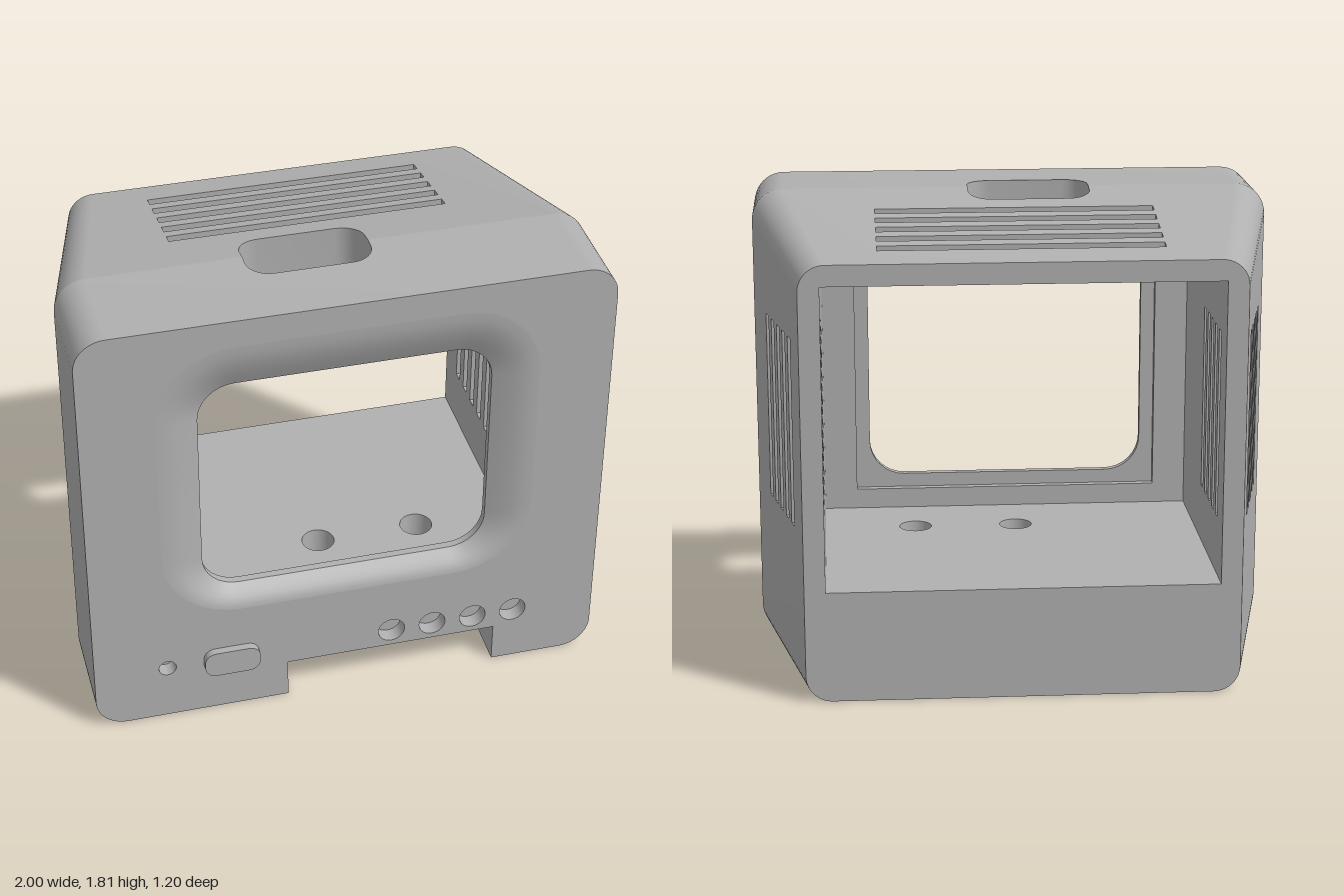
import * as THREE from 'three';
import { toCreasedNormals } from 'three/addons/utils/BufferGeometryUtils.js';

const V = (x, y, z) => new THREE.Vector3(x, y, z);

// Overall dimensions
const FRONT = 0.57, KINK = 0.18, BACK = -0.6;
const IN_X = 0.74, FLOOR = 0.43, CEIL = 1.59, IN_FRONT = 0.45;
const NOTCH = { x0: -0.24, x1: 0.595, y: 0.165, z: -0.04 };

const taper = z => Math.max(0, (KINK - z) / (KINK - BACK));
const halfWidth = z => 1 - 0.18 * taper(z);
const topY = z => 1.81 - 0.14 * taper(z);
const cornerR = z => 0.12 - 0.02 * taper(z);

// Rounded rectangle, counter-clockwise from the lower right corner
function roundRect(x0, x1, y0, y1, r, n = 8) {
  const pts = [];
  [[x1 - r, y0 + r], [x1 - r, y1 - r], [x0 + r, y1 - r], [x0 + r, y0 + r]].forEach(([cx, cy], c) => {
    for (let i = 0; i <= n; i++) {
      const a = (c - 1 + i / n) * Math.PI / 2;
      pts.push([cx + r * Math.cos(a), cy + r * Math.sin(a)]);
    }
  });
  return pts;
}
const rect = (x0, x1, y0, y1) => [[x0, y0], [x1, y0], [x1, y1], [x0, y1]];
const circle = (x, y, r, n = 28) => Array.from({ length: n }, (_, i) =>
  [x + r * Math.cos(i / n * 2 * Math.PI), y + r * Math.sin(i / n * 2 * Math.PI)]);

// Collects triangles, each turned to face the given direction
class Surface {
  constructor() { this.data = []; }
  tri(a, b, c, dir) {
    const n = b.clone().sub(a).cross(c.clone().sub(a));
    if (n.lengthSq() < 1e-14) return;
    for (const p of n.dot(dir) < 0 ? [a, c, b] : [a, b, c]) this.data.push(p.x, p.y, p.z);
  }
  quad(a, b, c, d, dir) { this.tri(a, b, c, dir); this.tri(a, c, d, dir); }
  // Flat panel with holes; map places its 2D points in space
  panel(outline, holes, map, dir) {
    const to2 = list => list.map(p => new THREE.Vector2(p[0], p[1]));
    const all = [outline, ...holes].flat().map(p => map(p[0], p[1]));
    for (const [a, b, c] of THREE.ShapeUtils.triangulateShape(to2(outline), holes.map(to2)))
      this.tri(all[a], all[b], all[c], dir);
  }
  // Walls of an opening, running between two mapped copies of its outline
  tunnel(pts, mapA, mapB, closed = true) {
    const A = pts.map(p => mapA(...p)), B = pts.map(p => mapB(...p));
    const mid = V(0, 0, 0);
    [...A, ...B].forEach(p => mid.addScaledVector(p, 0.5 / A.length));
    for (let i = 0; i < A.length - (closed ? 0 : 1); i++) {
      const j = (i + 1) % A.length;
      this.quad(A[i], A[j], B[j], B[i], mid.clone().sub(A[i].clone().add(B[j]).multiplyScalar(0.5)));
    }
  }
  mesh(name, material, crease) {
    const g = new THREE.BufferGeometry();
    g.setAttribute('position', new THREE.Float32BufferAttribute(this.data, 3));
    const m = new THREE.Mesh(toCreasedNormals(g, crease), material);
    m.name = name;
    return m;
  }
}

export function createModel() {
  const group = new THREE.Group();
  group.name = 'monitorCase';
  const grey = new THREE.MeshStandardMaterial({ color: 0xb0b0b0, side: THREE.DoubleSide });
  grey.name = 'grey plastic';
  const add = (surface, name, crease = 0.25) => group.add(surface.mesh(name, grey, crease));

  const UP = V(0, 1, 0), DOWN = V(0, -1, 0), FWD = V(0, 0, 1), REAR = V(0, 0, -1);
  const atY = y => (x, z) => V(x, y, z);
  const atZ = z => (x, y) => V(x, y, z);
  const roof = (x, z) => V(x, topY(z), z);
  const section = z => roundRect(-halfWidth(z), halfWidth(z), 0, topY(z), cornerR(z), 10);

  // Vents and handle window
  const sideSlots = [], topSlots = [];
  for (let i = 0; i < 5; i++) {
    const s = -0.04 - i * 0.094, t = -0.05 - i * 0.0931;
    sideSlots.push(rect(s - 0.045, s, 0.65, 1.37));
    topSlots.push(rect(-0.53, 0.53, t - 0.046, t));
  }
  const [wx0, wx1] = [-0.305, 0.165];
  const win = roundRect(wx0, wx1, 0.04, 0.31, 0.09);
  win.splice(9, 0, [wx1, KINK]);
  win.splice(28, 0, [wx0, KINK]);
  const winFront = win.filter(p => p[1] >= KINK);
  const winRear = [...win.slice(28), ...win.slice(0, 10)];

  // Outer shell in a straight front part and a tapered rear part
  for (const [name, za, zb] of [['frontShell', FRONT, KINK], ['rearShell', KINK, BACK]]) {
    const shell = new Surface(), front = za === FRONT;
    const A = section(za), B = section(zb);
    for (let i = 0; i < A.length; i++) {
      if (i % 11 === 10) continue;
      const a = A[i], b = A[i + 1], c = B[i + 1], d = B[i];
      shell.quad(V(...a, za), V(...b, za), V(...c, zb), V(...d, zb), V(a[0], a[1] - 0.9, 0));
    }
    const side = [[za, cornerR(za)], [za, topY(za) - cornerR(za)], [zb, topY(zb) - cornerR(zb)], [zb, cornerR(zb)]];
    for (const s of [-1, 1])
      shell.panel(side, front ? [] : sideSlots, (z, y) => V(s * halfWidth(z), y, z), V(s, 0, 0));
    const ea = halfWidth(za) - cornerR(za), eb = halfWidth(zb) - cornerR(zb);
    const top = front
      ? [[-ea, za], [ea, za], [eb, zb], ...winFront, [-eb, zb]]
      : [[-eb, zb], [eb, zb], [ea, za], ...[...winRear].reverse(), [-ea, za]];
    shell.panel(top, front ? [] : topSlots, roof, UP);
    add(shell, name);
  }

  // Vent and window walls
  const vents = new Surface();
  for (const slot of sideSlots) for (const s of [-1, 1])
    vents.tunnel(slot, (z, y) => V(s * halfWidth(z), y, z), (z, y) => V(s * IN_X, y, z));
  for (const hole of [...topSlots, win]) vents.tunnel(hole, roof, atY(CEIL));
  add(vents, 'ventWalls', 0.4);

  // Front face with control sockets and a cut for the lower notch
  const sockets = [circle(-0.715, 0.24, 0.034)];
  for (let i = 0; i < 4; i++) sockets.push(circle(0.177 + i * 0.165, 0.24, 0.053));
  const bezelOuter = roundRect(-0.72, 0.72, 0.48, 1.7, 0.3);
  const screen = roundRect(-0.555, 0.555, 0.565, 1.5, 0.14);
  const face = new Surface();
  const { x0, x1 } = NOTCH;
  face.panel([...section(FRONT), [x0, 0], [x0, NOTCH.y], [x1, NOTCH.y], [x1, 0]],
    [bezelOuter, ...sockets], atZ(FRONT), FWD);
  for (const s of sockets) {
    face.tunnel(s, atZ(FRONT), atZ(0.51));
    face.panel(s, [], atZ(0.51), FWD);
  }
  add(face, 'frontFace', 0.4);

  // Dished bezel sinking towards the screen opening
  const bezel = new Surface(), rings = 6;
  const ring = t => screen.map((p, i) => V(
    p[0] + (bezelOuter[i][0] - p[0]) * t,
    p[1] + (bezelOuter[i][1] - p[1]) * t,
    0.51 + 0.06 * Math.sin(t * Math.PI / 2)));
  for (let k = 0; k < rings; k++) {
    const A = ring(k / rings), B = ring((k + 1) / rings);
    A.forEach((p, i) => {
      const j = (i + 1) % A.length;
      bezel.quad(p, A[j], B[j], B[i], FWD);
    });
  }
  add(bezel, 'screenBezel', 0.5);

  // Screen lip and the square seat behind it
  const lip = new Surface(), seat = rect(-0.61, 0.61, 0.51, 1.555);
  lip.tunnel(screen, atZ(0.51), atZ(0.48));
  lip.panel(seat, [screen], atZ(0.48), REAR);
  lip.tunnel(seat, atZ(0.48), atZ(IN_FRONT));
  add(lip, 'screenSeat', 0.4);

  // Straight-sided interior and rear rim
  const inside = new Surface();
  const plan = rect(-IN_X, IN_X, BACK, IN_FRONT);
  const opening = rect(-IN_X, IN_X, FLOOR, CEIL);
  const cableHoles = [circle(-0.023, 0.19, 0.064), circle(0.38, 0.19, 0.064)];
  inside.panel(plan, cableHoles, atY(FLOOR), UP);
  inside.panel(plan, [...topSlots, win], atY(CEIL), DOWN);
  for (const s of [-1, 1])
    inside.panel(rect(BACK, IN_FRONT, FLOOR, CEIL), sideSlots, (z, y) => V(s * IN_X, y, z), V(-s, 0, 0));
  inside.panel(opening, [seat], atZ(IN_FRONT), REAR);
  inside.panel(section(BACK), [opening], atZ(BACK), REAR);
  add(inside, 'interiorAndRim');

  // Underside with front notch, blind pocket and cable holes
  const base = new Surface();
  const ef = halfWidth(FRONT) - cornerR(FRONT), eb = halfWidth(BACK) - cornerR(BACK);
  const notchPath = [[x0, FRONT], [x0, NOTCH.z], [x1, NOTCH.z], [x1, FRONT]];
  const pocket = rect(x0, 0.25, -0.32, NOTCH.z - 0.012);
  base.panel([[-eb, BACK], [-ef, KINK], [-ef, FRONT], ...notchPath, [ef, FRONT], [ef, KINK], [eb, BACK]],
    [pocket], atY(0), DOWN);
  base.tunnel(notchPath, atY(0), atY(NOTCH.y), false);
  base.panel(notchPath, cableHoles, atY(NOTCH.y), DOWN);
  base.tunnel(pocket, atY(0), atY(0.17));
  base.panel(pocket, [], atY(0.17), DOWN);
  for (const c of cableHoles) base.tunnel(c, atY(NOTCH.y), atY(FLOOR));
  add(base, 'underside', 0.4);

  // Raised front button
  const outline = roundRect(-0.573, -0.355, 0.185, 0.298, 0.045).map(p => new THREE.Vector2(...p));
  const button = new THREE.Mesh(
    new THREE.ExtrudeGeometry(new THREE.Shape(outline), { depth: 0.04, bevelEnabled: false }), grey);
  button.geometry = toCreasedNormals(button.geometry, 0.4);
  button.position.z = 0.56;
  button.name = 'frontButton';
  group.add(button);

  return group;
}
